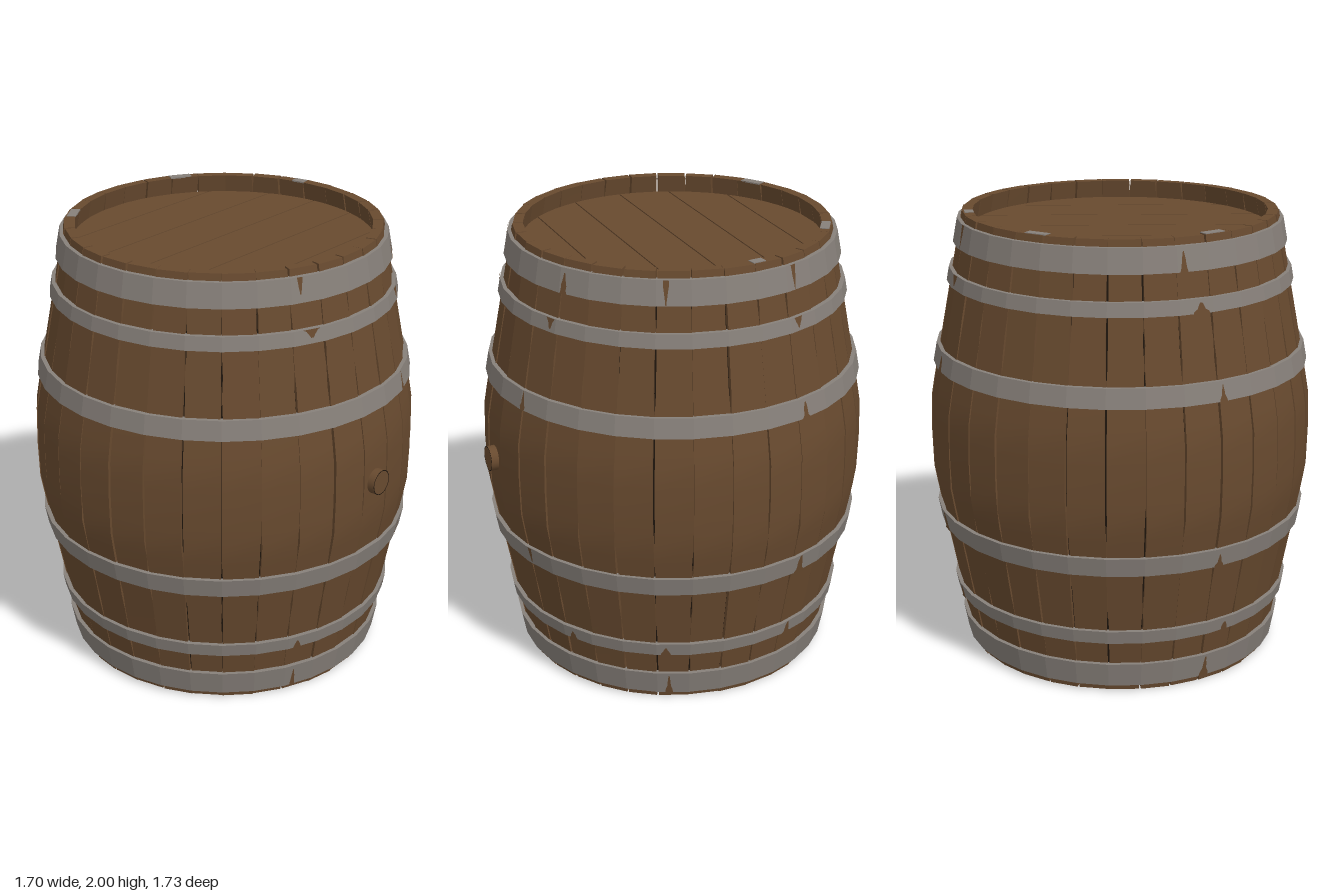
import * as THREE from 'three';

const STAVES = 32, STEP = (Math.PI * 2) / STAVES;
const DEG = Math.PI / 180;

const mat = (name, color, side = THREE.FrontSide) => {
  const m = new THREE.MeshStandardMaterial({ color, side });
  m.name = name;
  return m;
};

// Repeatable pseudo-random value in 0..1
const hash = (a, b) => {
  const s = Math.sin(a * 127.1 + b * 311.7) * 43758.5453;
  return s - Math.floor(s);
};

// Outer radius of the wood at height y (at the stave corners)
const radius = (y) => {
  const d = Math.abs(y - 1);
  return Math.min(0.853 - 0.025 * d, 0.692 + 0.19 * (1 - d));
};

// Point on the faceted surface at azimuth a (0 = front), pushed out by lift
const surface = (a, y, lift) => {
  const k = a - Math.round(a / STEP) * STEP;
  const r = ((radius(y) + lift) * Math.cos(STEP / 2)) / Math.cos(k);
  return [r * Math.sin(a), y, r * Math.cos(a)];
};

// Half width of the crack at a seam: cracks open and close along their length
const crack = (seam, row) => {
  const middle = row > 10 && row < 17;
  const h = middle ? hash(seam, 3) : hash(seam, row);
  return h > 0.5 ? 0.0045 : 0.0008;
};

// One curved stave made by bending a box
function staveGeometry(k) {
  const rows = 24, g = new THREE.BoxGeometry(1, 2, 1, 1, rows, 1);
  const p = g.attributes.position;
  const jitter = (hash(k, 7) - 0.5) * 0.006;
  for (let i = 0; i < p.count; i++) {
    const y = p.getY(i) + 1, row = Math.round((y / 2) * rows), s = Math.sign(p.getX(i));
    const r = radius(y) + (p.getZ(i) > 0 ? jitter : -0.045);
    const seam = (k + (s > 0 ? 1 : 0)) % STAVES;
    const a = k * STEP + s * (STEP / 2 - crack(seam, row) / r);
    p.setXYZ(i, r * Math.sin(a), y, r * Math.cos(a));
  }
  g.computeVertexNormals();
  return g;
}

// Flat-faced hoop following the slope of the staves
function hoopGeometry(y0, y1) {
  const at = (y, lift) => new THREE.Vector2(radius(y) + lift, y);
  const pts = [at(y0, -0.01), at(y0, 0.018), at(y1, 0.018), at(y1, -0.01)];
  const g = new THREE.LatheGeometry(pts, STAVES, STEP / 2).toNonIndexed();
  g.computeVertexNormals();
  return g;
}

// Tapered chip lying on a hoop, wide at yA and pointed at yB
function chipGeometry(a, yA, yB, width) {
  const rows = 5, pos = [], idx = [];
  for (let i = 0; i <= rows; i++) {
    const t = i / rows, y = yA + (yB - yA) * t;
    const w = (width * (1 - t * 0.85) * (0.75 + 0.5 * hash(a, i))) / 2;
    for (const s of [-1, 0, 1]) pos.push(...surface(a + s * w, y, 0.022));
    if (i < rows) for (const c of [0, 1]) {
      const n = i * 3 + c;
      idx.push(n, n + 1, n + 4, n, n + 4, n + 3);
    }
  }
  const g = new THREE.BufferGeometry();
  g.setAttribute('position', new THREE.Float32BufferAttribute(pos, 3));
  g.setIndex(idx);
  g.computeVertexNormals();
  return g;
}

// Plank of a round lid between two chords
function plankGeometry(R, lo, hi) {
  const a0 = Math.asin(Math.max(-1, lo / R)), a1 = Math.asin(Math.min(1, hi / R));
  const s = new THREE.Shape();
  s.absarc(0, 0, R, a0, a1, false);
  s.absarc(0, 0, R, Math.PI - a1, Math.PI - a0, false);
  const g = new THREE.ExtrudeGeometry(s, { depth: 0.04, bevelEnabled: false, curveSegments: 14 });
  return g.rotateX(-Math.PI / 2);
}

export function createModel() {
  const wood = mat('oak wood', 0x684a2f);
  const chipWood = mat('bare wood', 0x684a2f, THREE.DoubleSide);
  const iron = mat('worn iron', 0x87807a);
  const dark = mat('dark gap', 0x1e150d, THREE.DoubleSide);

  const model = new THREE.Group();
  model.name = 'barrel';
  const body = new THREE.Group();
  body.name = 'body';
  body.position.z = -0.015;
  model.add(body);
  const add = (name, geometry, material, parent = body) => {
    const m = new THREE.Mesh(geometry, material);
    m.name = name;
    parent.add(m);
    return m;
  };

  // Staves and the dark lining seen through their cracks
  for (let k = 0; k < STAVES; k++) add('stave', staveGeometry(k), wood);
  const lining = [0.1, 0.8, 1, 1.2, 1.9].map((y) => new THREE.Vector2(radius(y) - 0.022, y));
  add('innerLining', new THREE.LatheGeometry(lining, STAVES, STEP / 2), dark);

  // Recessed lids made of planks
  const cuts = [-0.66, -0.455, -0.225, 0.01, 0.24, 0.475, 0.66];
  for (const [name, y] of [['topLidPlank', 1.88], ['bottomLidPlank', 0.08]]) {
    for (let i = 0; i < cuts.length - 1; i++) {
      add(name, plankGeometry(0.66, cuts[i] + 0.003, cuts[i + 1] - 0.003), wood).position.y = y;
    }
  }

  // Iron hoops
  const hoops = [[0.03, 0.14], [0.25, 0.31], [0.59, 0.675], [1.33, 1.415], [1.695, 1.755], [1.865, 1.97]];
  for (const [y0, y1] of hoops) add('hoop', hoopGeometry(y0, y1), iron);

  // Chips worn out of the hoops: azimuth, wide end, pointed end, angular width
  const chips = [
    [-25, 1.97, 1.9, 0.04], [30, 1.865, 1.95, 0.05], [65, 1.97, 1.87, 0.035], [110, 1.97, 1.87, 0.035],
    [199, 1.865, 1.95, 0.05], [-22, 1.755, 1.72, 0.1], [26, 1.755, 1.71, 0.06], [110, 1.755, 1.71, 0.06],
    [204, 1.695, 1.74, 0.1], [18, 1.33, 1.415, 0.035], [109, 1.33, 1.4, 0.05], [209, 1.33, 1.4, 0.04],
    [19, 0.675, 0.6, 0.03], [109, 0.59, 0.675, 0.07], [209, 0.59, 0.65, 0.05],
    [-25, 0.25, 0.29, 0.06], [32, 0.25, 0.29, 0.06], [65, 0.25, 0.29, 0.06], [109, 0.25, 0.31, 0.06],
    [215, 0.25, 0.29, 0.06], [-25, 0.03, 0.12, 0.04], [66, 0.03, 0.13, 0.04], [209, 0.03, 0.13, 0.06],
  ];
  for (const [a, yA, yB, w] of chips) add('hoopChip', chipGeometry(a * DEG, yA, yB, w), chipWood);

  // Small iron patches on the top rim
  for (const [a, w] of [[-147, 0.1], [148, 0.1], [98, 0.06]]) {
    const plate = add('rimPatch', new THREE.BoxGeometry(w, 0.006, 0.04), iron);
    plate.position.set(0.664 * Math.sin(a * DEG), 2, 0.664 * Math.cos(a * DEG));
    plate.rotation.y = a * DEG;
  }

  // Bung with a dark outline around its end
  const bung = new THREE.Group();
  bung.name = 'bung';
  bung.position.set(0, 1.005, 0);
  model.add(bung);
  const plug = add('bungPlug', new THREE.CylinderGeometry(0.056, 0.056, 0.085, 20), wood, bung);
  plug.rotation.x = Math.PI / 2;
  plug.position.z = 0.8225;
  add('bungOutline', new THREE.RingGeometry(0.053, 0.057, 20), dark, bung).position.z = 0.8655;

  return model;
}
